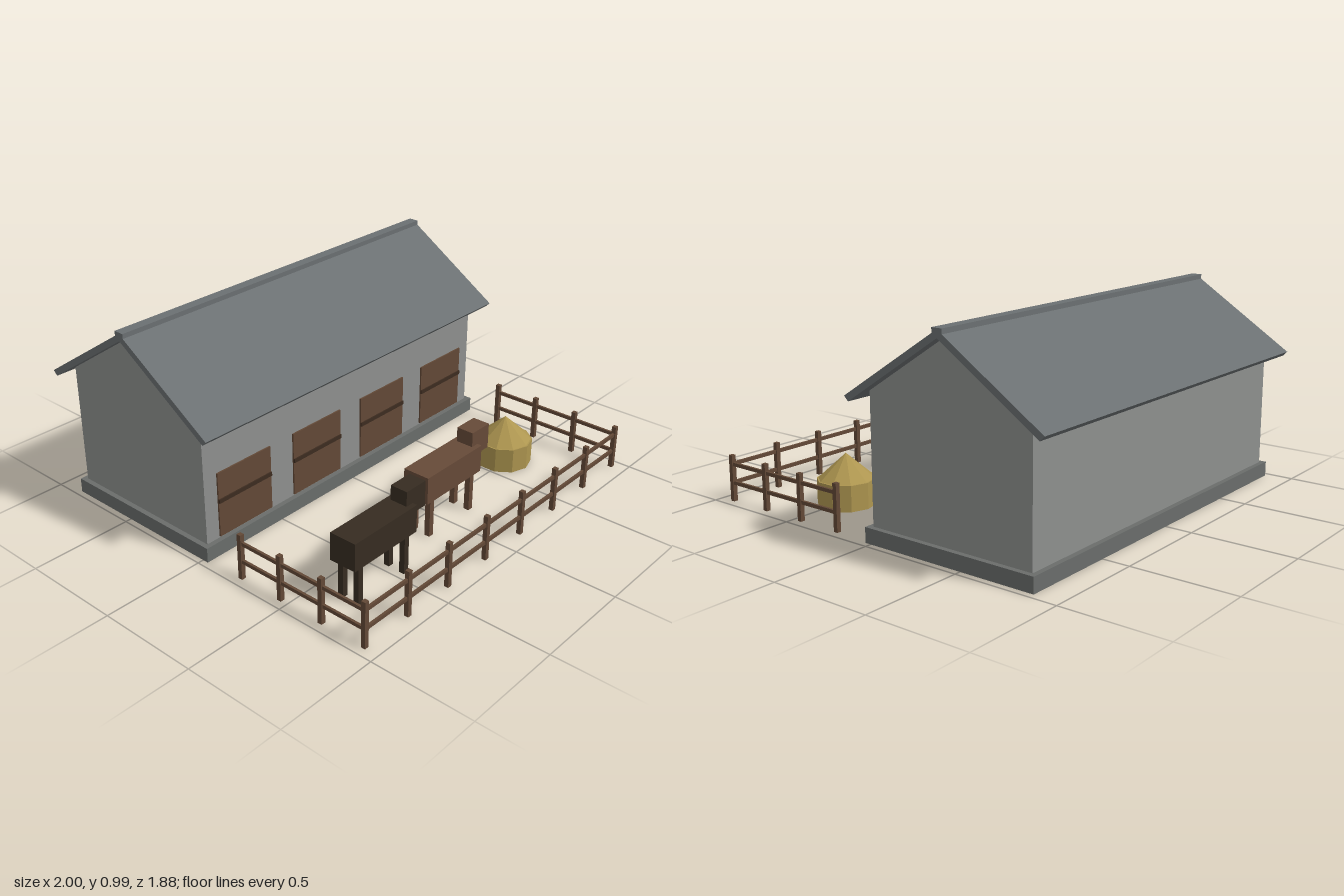
import * as THREE from 'three';

const mat = (name, color, flatShading = false) => {
  const m = new THREE.MeshStandardMaterial({ color, flatShading });
  m.name = name;
  return m;
};

export function createModel() {
  const wall = mat('wall grey', 0x8e908e);
  const roof = mat('roof slate', 0x6b7072);
  const stone = mat('foundation stone', 0x6a6d6b);
  const brown = mat('brown wood', 0x624836);
  const darkWood = mat('dark wood', 0x3d2c20);
  const coat = mat('brown coat', 0x664a38);
  const darkCoat = mat('dark coat', 0x362c21);
  const hay = mat('hay', 0xae9650, true);

  const model = new THREE.Group();
  model.name = 'stable';

  const add = (parent, name, geometry, material, x, y, z) => {
    const mesh = new THREE.Mesh(geometry, material);
    mesh.name = name;
    mesh.position.set(x, y, z);
    parent.add(mesh);
    return mesh;
  };
  // Box given by its min and max on each axis
  const box = (parent, name, material, [x0, x1], [y0, y1], [z0, z1]) =>
    add(parent, name, new THREE.BoxGeometry(x1 - x0, y1 - y0, z1 - z0), material,
      (x0 + x1) / 2, (y0 + y1) / 2, (z0 + z1) / 2);
  const group = (name) => {
    const g = new THREE.Group();
    g.name = name;
    model.add(g);
    return g;
  };

  // Building: gabled sections run along x, symmetric about the ridge line
  const ridgeZ = -0.42;
  const gableRun = (name, points, length, material) => {
    const shape = new THREE.Shape(points.map(([u, y]) => new THREE.Vector2(u, y)));
    const geo = new THREE.ExtrudeGeometry(shape, { depth: length, bevelEnabled: false });
    geo.translate(0, 0, -length / 2).rotateY(Math.PI / 2);
    return add(building, name, geo, material, 0, 0, ridgeZ);
  };
  const building = group('building');
  box(building, 'foundation', stone, [-0.97, 0.97], [0, 0.072], [-0.87, 0.03]);
  gableRun('walls', [[-0.425, 0.07], [0.425, 0.07], [0.425, 0.672], [0, 0.948], [-0.425, 0.672]], 1.89, wall);
  gableRun('roof', [[-0.52, 0.642], [-0.498, 0.62], [0, 0.944], [0.498, 0.62], [0.52, 0.642], [0, 0.979]], 2, roof);
  box(building, 'ridgeCap', roof, [-1, 1], [0.955, 0.985], [ridgeZ - 0.026, ridgeZ + 0.026]);

  // Stall doors with a dark cross band
  for (let i = 0; i < 4; i++) {
    const x = -0.709 + i * 0.4725;
    box(building, 'stallDoor', brown, [x - 0.162, x + 0.162], [0.08, 0.402], [0, 0.013]);
    box(building, 'doorBand', darkWood, [x - 0.162, x + 0.162], [0.252, 0.272], [0.01, 0.019]);
  }

  // Paddock fence: front run and two side runs
  const fence = group('fence');
  const fx = 0.948, zFront = 0.924, zBack = 0.225;
  const post = (x, z) => box(fence, 'fencePost', brown,
    [x - 0.011, x + 0.011], [0, 0.225], [z - 0.011, z + 0.011]);
  for (let i = 0; i < 8; i++) post(-fx + (i * 2 * fx) / 7, zFront);
  for (const side of [-1, 1]) {
    for (let i = 0; i < 3; i++) post(side * fx, zBack + (i * (zFront - zBack)) / 3);
  }
  for (const y of [0.09, 0.181]) {
    const ys = [y - 0.0085, y + 0.0085];
    box(fence, 'frontRail', brown, [-fx, fx], ys, [zFront - 0.006, zFront + 0.006]);
    for (const x of [-fx, fx]) {
      box(fence, 'sideRail', brown, [x - 0.006, x + 0.006], ys, [zBack, zFront]);
    }
  }

  // Horses: block body, raised head and four legs
  const horse = (name, material, x, z) => {
    const g = group(name);
    g.position.set(x, 0, z);
    box(g, 'body', material, [-0.2, 0.2], [0.193, 0.328], [-0.068, 0.068]);
    box(g, 'head', material, [0.158, 0.285], [0.275, 0.4], [-0.044, 0.044]);
    for (const lx of [-0.15, 0.15]) {
      for (const lz of [-0.043, 0.043]) {
        box(g, 'leg', material, [lx - 0.014, lx + 0.014], [0, 0.2], [lz - 0.014, lz + 0.014]);
      }
    }
  };
  horse('brownHorse', coat, 0, 0.577);
  horse('darkHorse', darkCoat, -0.6, 0.674);

  // Feed trough
  box(model, 'trough', brown, [-0.578, -0.229], [0, 0.116], [0.415, 0.535]);

  // Haystack
  const stack = group('haystack');
  stack.position.set(0.645, 0, 0.476);
  add(stack, 'hayBase', new THREE.CylinderGeometry(0.14, 0.14, 0.126, 10), hay, 0, 0.063, 0);
  add(stack, 'hayTop', new THREE.ConeGeometry(0.133, 0.12, 10), hay, 0, 0.186, 0);

  return model;
}
